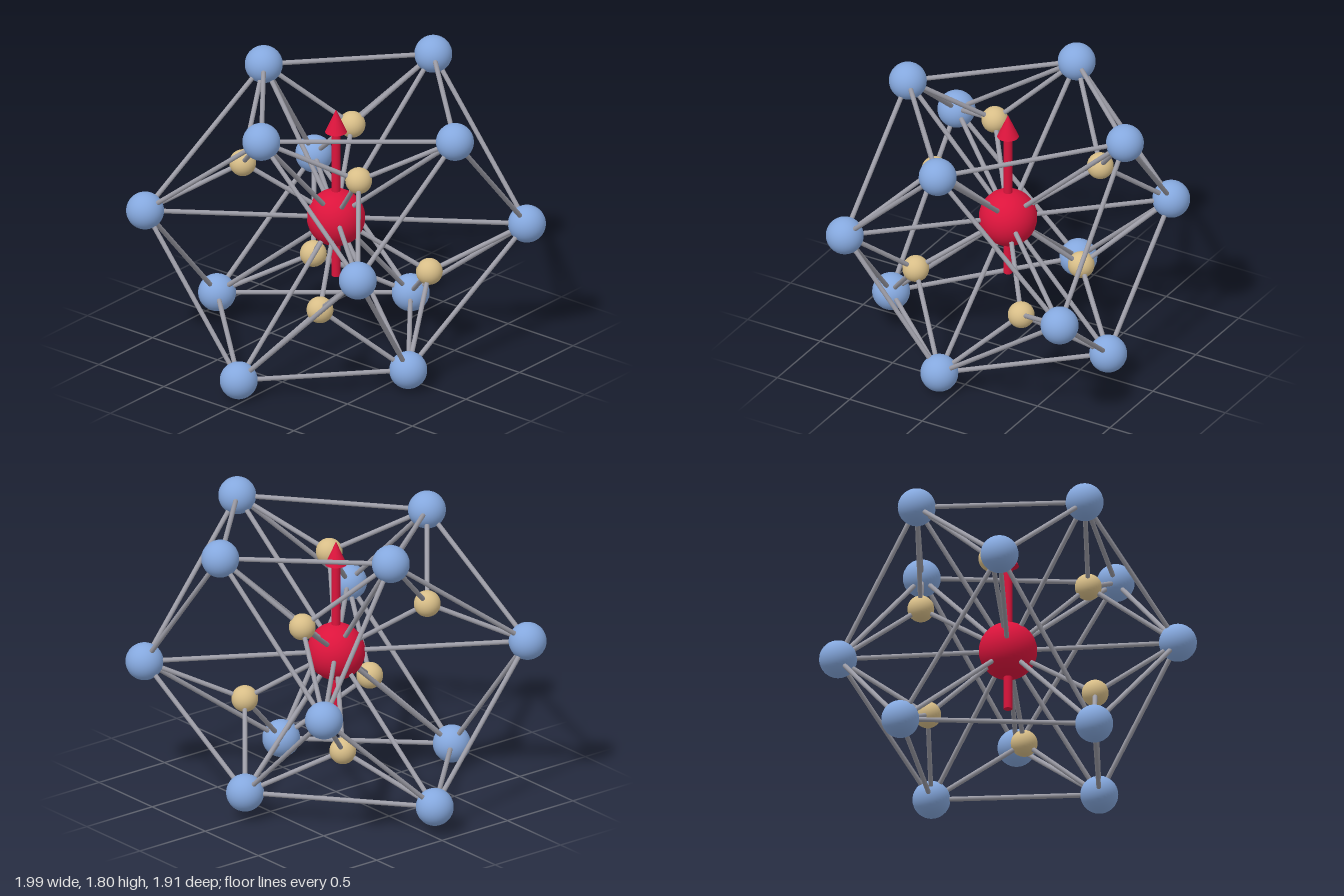
import * as THREE from 'three';

const mat = (name, color) => {
  const m = new THREE.MeshStandardMaterial({ color });
  m.name = name;
  return m;
};

export function createModel() {
  const model = new THREE.Group();
  const blue = mat('blue', 0x85a8de);
  const tan = mat('tan', 0xd8be88);
  const red = mat('crimson', 0xdc143c);
  const grey = mat('grey', 0x9c9ca6);

  const center = new THREE.Vector3(0, 0.9, 0);
  const add = (geometry, material, name, position) => {
    const mesh = new THREE.Mesh(geometry, material);
    mesh.name = name;
    mesh.position.copy(position);
    model.add(mesh);
    return mesh;
  };

  // Atom sites relative to the centre; each has an opposite through the centre
  const outerHalf = {
    A: [-0.636, 0.78, -0.097], B: [0.056, 0.787, -0.84], C: [-0.003, 0.731, 0.693],
    D: [0.884, 0.731, -0.038], E: [-0.79, 0.103, 0.824], G: [0.737, 0.039, 0.69],
  };
  const opposite = { A: 'L', B: 'K', C: 'J', D: 'I', E: 'H', G: 'F' };
  const outer = {};
  for (const [key, p] of Object.entries(outerHalf)) {
    const v = new THREE.Vector3(...p);
    outer[key] = v.clone().add(center);
    outer[opposite[key]] = center.clone().sub(v);
  }

  // Spheres
  const outerGeo = new THREE.SphereGeometry(0.113, 32, 24);
  for (const p of Object.values(outer)) add(outerGeo, blue, 'outerAtom', p);
  add(new THREE.SphereGeometry(0.174, 40, 28), red, 'centralAtom', center);

  // Rod between two points
  const rodGeo = new THREE.CylinderGeometry(0.0145, 0.0145, 1, 12);
  const up = new THREE.Vector3(0, 1, 0);
  const rod = (a, b, name) => {
    const d = b.clone().sub(a);
    const mesh = add(rodGeo, grey, name, a.clone().lerp(b, 0.5));
    mesh.scale.y = d.length();
    mesh.quaternion.setFromUnitVectors(up, d.normalize());
  };

  // Spokes from the centre, and the edges of the eight cage triangles
  for (const p of Object.values(outer)) rod(center, p, 'spoke');
  for (const [a, b, c] of ['CDG', 'ACE', 'BDH', 'ABF', 'KLG', 'IKE', 'JLH', 'IJF']) {
    rod(outer[a], outer[b], 'cageEdge');
    rod(outer[b], outer[c], 'cageEdge');
    rod(outer[c], outer[a], 'cageEdge');
  }

  // Small atoms in six of the triangles, tied to its corners and the centre
  const innerGeo = new THREE.SphereGeometry(0.08, 28, 20);
  const innerSites = [
    [[-0.27, 0.36, -0.477], 'ABF', 'LKG'],
    [[0.397, 0.446, 0.27], 'CDG', 'JIF'],
    [[-0.432, 0.351, 0.347], 'ACE', 'LJH'],
  ];
  for (const [p, near, far] of innerSites) {
    for (const [sign, corners] of [[1, near], [-1, far]]) {
      const v = new THREE.Vector3(...p).multiplyScalar(sign).add(center);
      add(innerGeo, tan, 'innerAtom', v);
      rod(center, v, 'innerBond');
      for (const k of corners) rod(v, outer[k], 'innerBond');
    }
  }

  // Upright arrow through the central atom
  add(new THREE.CylinderGeometry(0.026, 0.026, 0.94, 20), red, 'arrowShaft', new THREE.Vector3(0, 0.99, 0));
  add(new THREE.ConeGeometry(0.065, 0.145, 28), red, 'arrowHead', new THREE.Vector3(0, 1.5275, 0));

  return model;
}
